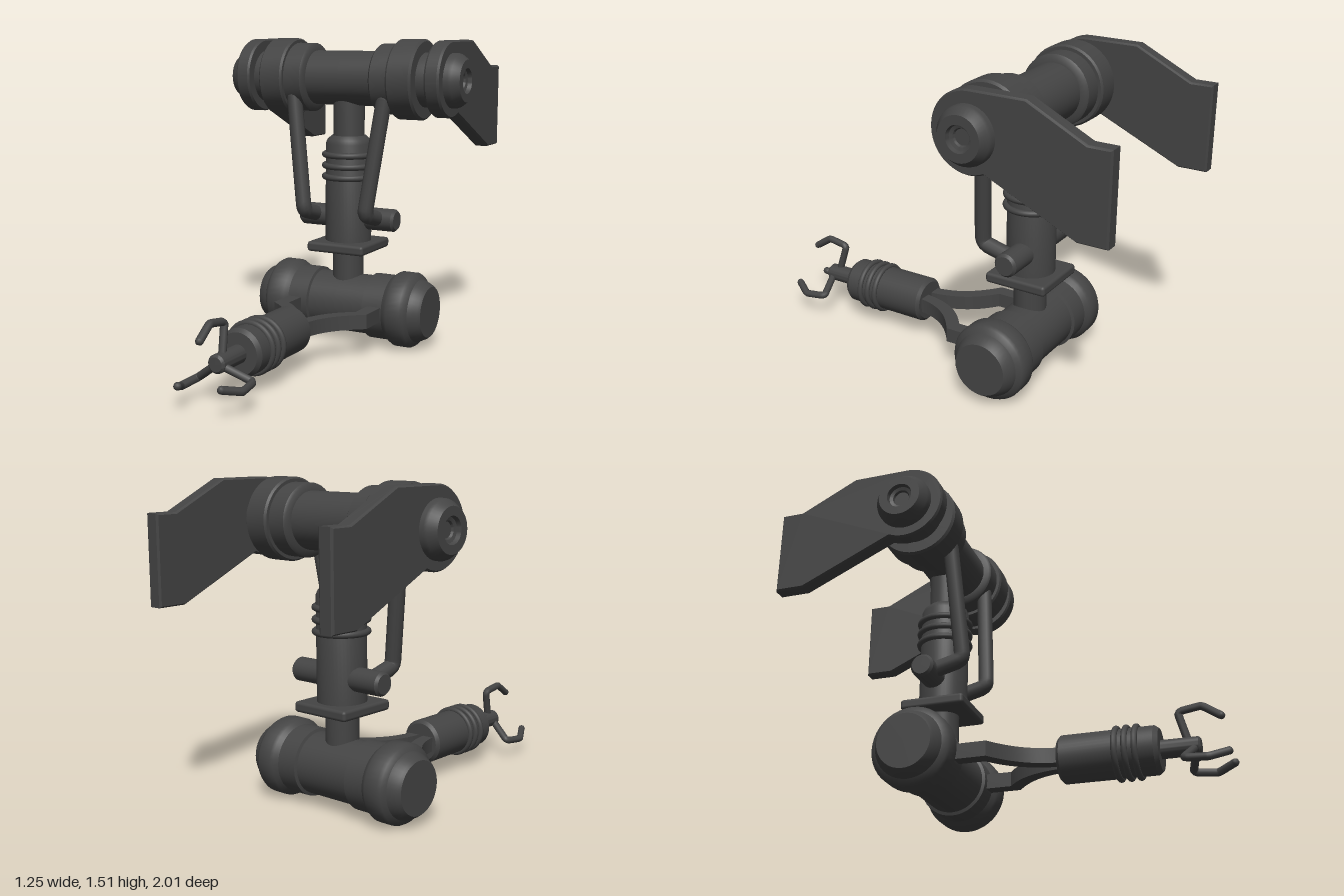
import * as THREE from 'three';
import { toCreasedNormals } from 'three/addons/utils/BufferGeometryUtils.js';
import { RoundedBoxGeometry } from 'three/addons/geometries/RoundedBoxGeometry.js';

const material = new THREE.MeshStandardMaterial({ color: 0x444444 });

function add(parent, name, geometry, x = 0, y = 0, z = 0) {
  const mesh = new THREE.Mesh(geometry, material);
  mesh.name = name;
  mesh.position.set(x, y, z);
  parent.add(mesh);
  return mesh;
}

// Turned part from [radius, height] pairs, along the given axis
function turned(profile, axis = 'y', sides = 40) {
  const g = new THREE.LatheGeometry(profile.map(([r, h]) => new THREE.Vector2(r, h)), sides);
  if (axis === 'x') g.rotateZ(-Math.PI / 2);
  if (axis === 'z') g.rotateX(Math.PI / 2);
  return toCreasedNormals(g, 0.6);
}

// Mirror a half profile (centre to end) into a full one
function mirrored(half) {
  return [...half.map(([r, h]) => [r, -h]).reverse(), ...half];
}

// Bent round rod with rounded ends
function rod(parent, name, points, radius, sides = 12) {
  const group = new THREE.Group();
  group.name = name;
  const path = points.map((p) => new THREE.Vector3(...p));
  const curve = new THREE.CatmullRomCurve3(path, false, 'catmullrom', 0.12);
  add(group, name + 'Bar', new THREE.TubeGeometry(curve, 48, radius, sides));
  for (const p of [path[0], path[path.length - 1]])
    add(group, name + 'End', new THREE.SphereGeometry(radius, sides, 8), p.x, p.y, p.z);
  parent.add(group);
  return group;
}

export function createModel() {
  const root = new THREE.Group();
  root.name = 'roboticArm';
  const arm = new THREE.Group();
  arm.name = 'armAssembly';
  arm.position.z = -0.35;
  arm.rotation.y = 0.036;
  root.add(arm);

  // Shoulder axle with stepped collars and recessed end caps
  add(arm, 'shoulderAxle', turned(mirrored([
    [0.134, 0], [0.134, 0.175], [0.16, 0.18], [0.17, 0.19], [0.17, 0.28],
    [0.185, 0.28], [0.193, 0.29], [0.193, 0.4], [0.183, 0.41], [0.13, 0.41],
    [0.13, 0.57], [0.125, 0.585], [0.1, 0.62], [0.06, 0.62], [0.055, 0.6],
    [0.04, 0.595], [0.035, 0.585], [0, 0.585],
  ]), 'x'), 0, 1.322, 0);

  // Side mounting plates, drawn in (-z, y) around the axle
  const plate = new THREE.Shape();
  const R = 0.175;
  plate.moveTo(0.26, R);
  plate.lineTo(0, R);
  plate.absarc(0, 0, R, Math.PI / 2, Math.PI * 1.64, false);
  plate.lineTo(0.5, -0.355);
  plate.lineTo(0.63, -0.355);
  plate.lineTo(0.63, 0.04);
  plate.lineTo(0.53, 0.04);
  plate.closePath();
  const plateGeo = new THREE.ExtrudeGeometry(plate, {
    depth: 0.056, bevelThickness: 0.01, bevelSize: 0.007, bevelSegments: 1, curveSegments: 32,
  });
  plateGeo.translate(0, 0, -0.028).rotateY(Math.PI / 2);
  for (const side of [-1, 1]) {
    add(arm, side > 0 ? 'leftMountPlate' : 'rightMountPlate',
      toCreasedNormals(plateGeo, 0.5), side * 0.51, 1.327, 0);
  }

  // Telescopic upright with grip rings and a square flange
  add(arm, 'upright', turned([
    [0, 0.3], [0.078, 0.3], [0.078, 0.48], [0.115, 0.48], [0.115, 1.0],
    [0.107, 1.02], [0.085, 1.04], [0.078, 1.04], [0.078, 1.25], [0, 1.25],
  ]));
  for (const y of [0.835, 0.89, 0.945]) {
    const ring = new THREE.TorusGeometry(0.12, 0.015, 10, 40).rotateX(Math.PI / 2);
    add(arm, 'uprightRing', ring, 0, y, 0);
  }
  add(arm, 'flange', new RoundedBoxGeometry(0.31, 0.05, 0.31, 2, 0.015), 0, 0.488, 0);

  // Cross pin and the two linkage rods
  add(arm, 'crossPin', turned(mirrored([
    [0.056, 0], [0.056, 0.25], [0.045, 0.263], [0, 0.263],
  ]), 'x', 24), 0, 0.627, -0.01);
  for (const s of [-1, 1]) {
    rod(arm, 'linkageRod', [
      [s * 0.245, 1.23, 0.115], [s * 0.172, 0.7, 0.155], [s * 0.17, 0.665, 0.135], [s * 0.17, 0.63, 0.0],
    ], 0.038);
  }

  // Lower barrel joint
  add(arm, 'lowerBarrel', turned(mirrored([
    [0.148, 0], [0.148, 0.15], [0.162, 0.155], [0.162, 0.26], [0.178, 0.28],
    [0.186, 0.295], [0.186, 0.365], [0.178, 0.38], [0.155, 0.395], [0.15, 0.41],
    [0.135, 0.44], [0.125, 0.452], [0, 0.452],
  ]), 'x'), 0, 0.19, 0);

  // Forked forearm: flat bars curving in to the hand
  for (const s of [-1, 1]) {
    const bar = new THREE.Shape();
    bar.moveTo(s * 0.255, 0.08);
    bar.lineTo(s * 0.255, 0.305);
    bar.bezierCurveTo(s * 0.15, 0.38, s * 0.08, 0.46, s * 0.07, 0.6);
    bar.lineTo(s * 0.012, 0.6);
    bar.bezierCurveTo(s * 0.02, 0.43, s * 0.1, 0.34, s * 0.185, 0.28);
    bar.lineTo(s * 0.185, 0.08);
    bar.closePath();
    const g = new THREE.ExtrudeGeometry(bar, { depth: 0.07, bevelEnabled: false, curveSegments: 14 });
    g.rotateX(Math.PI / 2);
    add(arm, 'forearmBar', toCreasedNormals(g, 0.5), 0, 0.223, 0);
  }

  // Hand body, rings and wrist stub
  const hand = new THREE.Group();
  hand.name = 'hand';
  hand.position.y = 0.188;
  arm.add(hand);
  add(hand, 'handBody', turned([
    [0, 0.575], [0.095, 0.575], [0.11, 0.59], [0.11, 1.01], [0.095, 1.03],
    [0.042, 1.03], [0.042, 1.195], [0.032, 1.205], [0, 1.205],
  ], 'z'));
  for (const z of [0.84, 0.885, 0.93])
    add(hand, 'handRing', new THREE.TorusGeometry(0.113, 0.014, 10, 40), 0, 0, z);

  // Three hooked fingers around the wrist stub
  [95, 215, 335].forEach((deg, i) => {
    const dz = i ? 0.03 : 0;
    const finger = rod(hand, 'finger', [
      [0.02, 0, 1.15], [0.15, 0, 1.115], [0.165, 0, 1.13], [0.178, 0, 1.215], [0.168, 0, 1.235], [0.125, 0, 1.3],
    ], 0.018, 8);
    finger.rotation.z = THREE.MathUtils.degToRad(deg);
    finger.position.z = dz;
  });

  return root;
}
